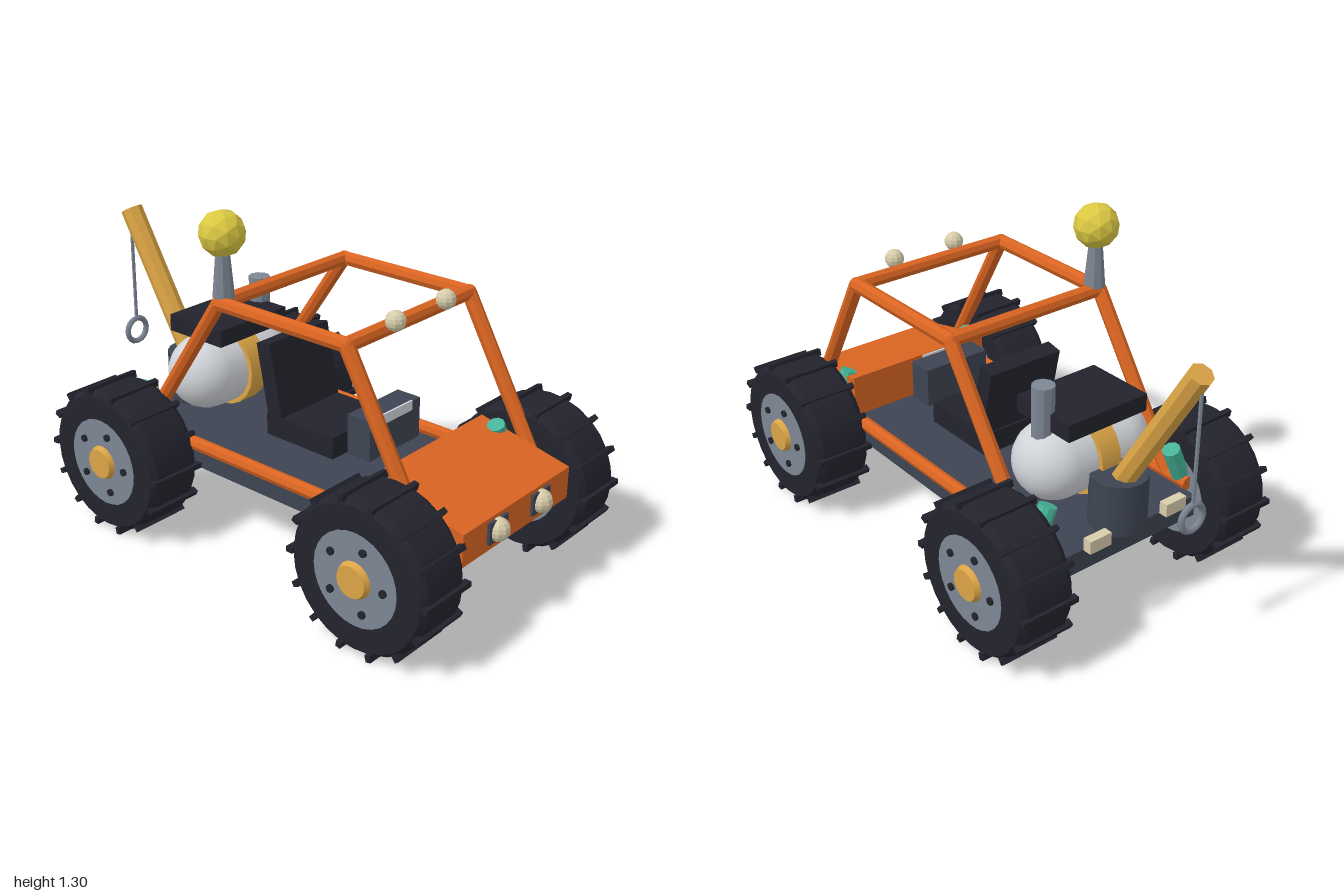
import * as THREE from 'three';
import { toCreasedNormals } from 'three/addons/utils/BufferGeometryUtils.js';

const V = (x, y, z) => new THREE.Vector3(x, y, z);

function makeMaterials() {
  const colours = {
    orange: 0xd96421, slate: 0x3d4452, dark: 0x23232e, steel: 0x7d8694, silver: 0xd0d3d8,
    amber: 0xdba445, yellow: 0xdbc842, cream: 0xd8ccaa, teal: 0x46b398,
  };
  const out = {};
  for (const [name, color] of Object.entries(colours)) {
    out[name] = new THREE.MeshStandardMaterial({ color });
    out[name].name = name;
  }
  return out;
}

function add(parent, name, geometry, material, pos) {
  const m = new THREE.Mesh(geometry, material);
  m.name = name;
  if (pos) m.position.set(...pos);
  parent.add(m);
  return m;
}

const box = (w, h, d) => new THREE.BoxGeometry(w, h, d);
const faceted = (g) => toCreasedNormals(g, 0.01);
const ball = (r) => faceted(new THREE.SphereGeometry(r, 10, 8));

// Straight faceted rod between two points
function rod(parent, name, a, b, r, material, sides = 8) {
  const dir = b.clone().sub(a);
  const m = add(parent, name, faceted(new THREE.CylinderGeometry(r, r, dir.length(), sides)), material);
  m.position.copy(a).add(b).multiplyScalar(0.5);
  m.quaternion.setFromUnitVectors(V(0, 1, 0), dir.normalize());
  return m;
}

// Wheel with its axle along x and the outer face towards +x
function makeWheel(M) {
  const wheel = new THREE.Group();
  const h = 0.1125;
  const profile = [[0.165, -h], [0.262, -h], [0.28, -h + 0.025], [0.28, h - 0.025], [0.262, h], [0.165, h]]
    .map(([r, y]) => new THREE.Vector2(r, y));
  const tyre = toCreasedNormals(new THREE.LatheGeometry(profile, 28), 0.4);
  add(wheel, 'tyre', tyre.rotateZ(-Math.PI / 2), M.dark);
  add(wheel, 'rim', new THREE.CylinderGeometry(0.172, 0.172, 0.228, 28).rotateZ(-Math.PI / 2), M.steel);
  add(wheel, 'hubCap', new THREE.CylinderGeometry(0.058, 0.072, 0.03, 16).rotateZ(-Math.PI / 2), M.amber, [0.119, 0, 0]);

  // Tread lugs
  const lug = box(0.232, 0.026, 0.02);
  for (let i = 0; i < 14; i++) {
    const a = (i / 14) * Math.PI * 2;
    const m = add(wheel, 'treadLug', lug, M.dark, [0, 0.28 * Math.sin(a), 0.28 * Math.cos(a)]);
    m.rotation.x = Math.PI / 2 - a;
  }
  // Wheel bolts
  const bolt = new THREE.CylinderGeometry(0.014, 0.014, 0.016, 8).rotateZ(-Math.PI / 2);
  for (let i = 0; i < 5; i++) {
    const a = (i / 5) * Math.PI * 2;
    add(wheel, 'wheelBolt', bolt, M.dark, [0.116, 0.12 * Math.sin(a), -0.12 * Math.cos(a)]);
  }
  return wheel;
}

function makeCage(M) {
  const cage = new THREE.Group();
  cage.name = 'rollCage';
  const r = 0.028, x = 0.34, top = 0.963, zf = 0.465, zr = -0.12;
  for (const s of [-1, 1]) {
    const px = s * x;
    rod(cage, 'sideRail', V(px, 0.37, 0.82), V(px, 0.37, -0.63), 0.026, M.orange);
    rod(cage, 'frontPost', V(px, 0.37, 0.8), V(px, top, zf), r, M.orange);
    rod(cage, 'roofRail', V(px, top, zf), V(px, top, zr), r, M.orange);
    rod(cage, 'rearPost', V(px, top, zr), V(px, 0.37, -0.525), r, M.orange);
    for (const z of [zf, zr]) add(cage, 'cageJoint', ball(r), M.orange, [px, top, z]);
    add(cage, 'roofLamp', ball(0.037), M.cream, [s * 0.14, 1.0, 0.508]);
  }
  for (const z of [zf, zr]) rod(cage, 'crossBar', V(-x, top, z), V(x, top, z), r, M.orange);
  return cage;
}

function makeEngine(M) {
  const engine = new THREE.Group();
  engine.name = 'engine';
  engine.position.set(0, 0.555, -0.42);
  add(engine, 'engineTank', new THREE.CapsuleGeometry(0.146, 0.256, 8, 20).rotateZ(Math.PI / 2), M.silver);
  add(engine, 'engineBand', new THREE.CylinderGeometry(0.165, 0.165, 0.085, 20).rotateZ(Math.PI / 2), M.amber);
  add(engine, 'engineCover', box(0.355, 0.066, 0.275), M.dark, [0, 0.178, 0]);
  add(engine, 'exhaustPipe', faceted(new THREE.CylinderGeometry(0.042, 0.042, 0.26, 10)), M.steel, [0.176, 0.178, 0]);
  return engine;
}

function makeCrane(M) {
  const crane = new THREE.Group();
  crane.name = 'crane';
  add(crane, 'craneBase', new THREE.CylinderGeometry(0.105, 0.105, 0.2, 16), M.slate, [0, 0.45, -0.622]);
  rod(crane, 'craneBoom', V(0, 0.47, -0.605), V(0, 1.07, -0.96), 0.044, M.amber);
  rod(crane, 'craneCable', V(0, 1.05, -0.967), V(0, 0.59, -0.967), 0.007, M.steel, 6);
  add(crane, 'craneRing', new THREE.TorusGeometry(0.05, 0.012, 6, 16), M.steel, [0, 0.545, -0.967]);
  return crane;
}

export function createModel() {
  const M = makeMaterials();
  const model = new THREE.Group();
  model.name = 'buggy';

  // Floor
  add(model, 'chassis', box(0.654, 0.085, 1.54), M.slate, [0, 0.3075, 0.09]);

  // Sloping front hood, side profile pushed across the width
  const side = new THREE.Shape([[0.565, 0.31], [0.94, 0.31], [0.94, 0.432], [0.565, 0.517]]
    .map(([z, y]) => new THREE.Vector2(z, y)));
  const hood = new THREE.ExtrudeGeometry(side, { depth: 0.634, bevelEnabled: false });
  add(model, 'hood', hood.rotateY(-Math.PI / 2).translate(0.317, 0, 0), M.orange);

  // Wheels
  for (const s of [-1, 1]) {
    for (const [name, z] of [['frontWheel', 0.706], ['rearWheel', -0.525]]) {
      const wheel = makeWheel(M);
      wheel.name = name;
      wheel.position.set(s * 0.4625, 0.291, z);
      if (s < 0) wheel.rotation.y = Math.PI;
      model.add(wheel);
      // Shock absorbers lean inwards at the top
      rod(model, 'shockAbsorber', V(s * 0.37, 0.33, z - 0.06), V(s * 0.287, 0.513, z - 0.06), 0.034, M.teal, 10);
    }
    // Lamps
    add(model, 'headlampPlate', box(0.106, 0.08, 0.02), M.slate, [s * 0.129, 0.377, 0.941]);
    add(model, 'headlamp', ball(0.043), M.cream, [s * 0.129, 0.377, 0.947]);
    add(model, 'tailLamp', box(0.095, 0.05, 0.035), M.cream, [s * 0.177, 0.39, -0.715]);
  }

  model.add(makeCage(M), makeEngine(M), makeCrane(M));

  // Seat
  add(model, 'seatCushion', box(0.315, 0.085, 0.322), M.dark, [0, 0.45, 0.093]);
  const back = add(model, 'seatBack', box(0.32, 0.29, 0.066), M.dark, [0, 0.625, -0.053]);
  back.rotation.x = -0.2;

  // Console with a light display
  add(model, 'console', box(0.284, 0.155, 0.102), M.slate, [0, 0.522, 0.36]);
  add(model, 'consoleDisplay', box(0.176, 0.038, 0.008), M.silver, [0, 0.588, 0.414]);

  // Beacon on the roof corner
  add(model, 'beaconStem', faceted(new THREE.CylinderGeometry(0.025, 0.04, 0.17, 8)), M.steel, [-0.32, 1.065, -0.115]);
  add(model, 'beacon', faceted(new THREE.IcosahedronGeometry(0.085, 1)), M.yellow, [-0.32, 1.215, -0.115]);

  return model;
}
